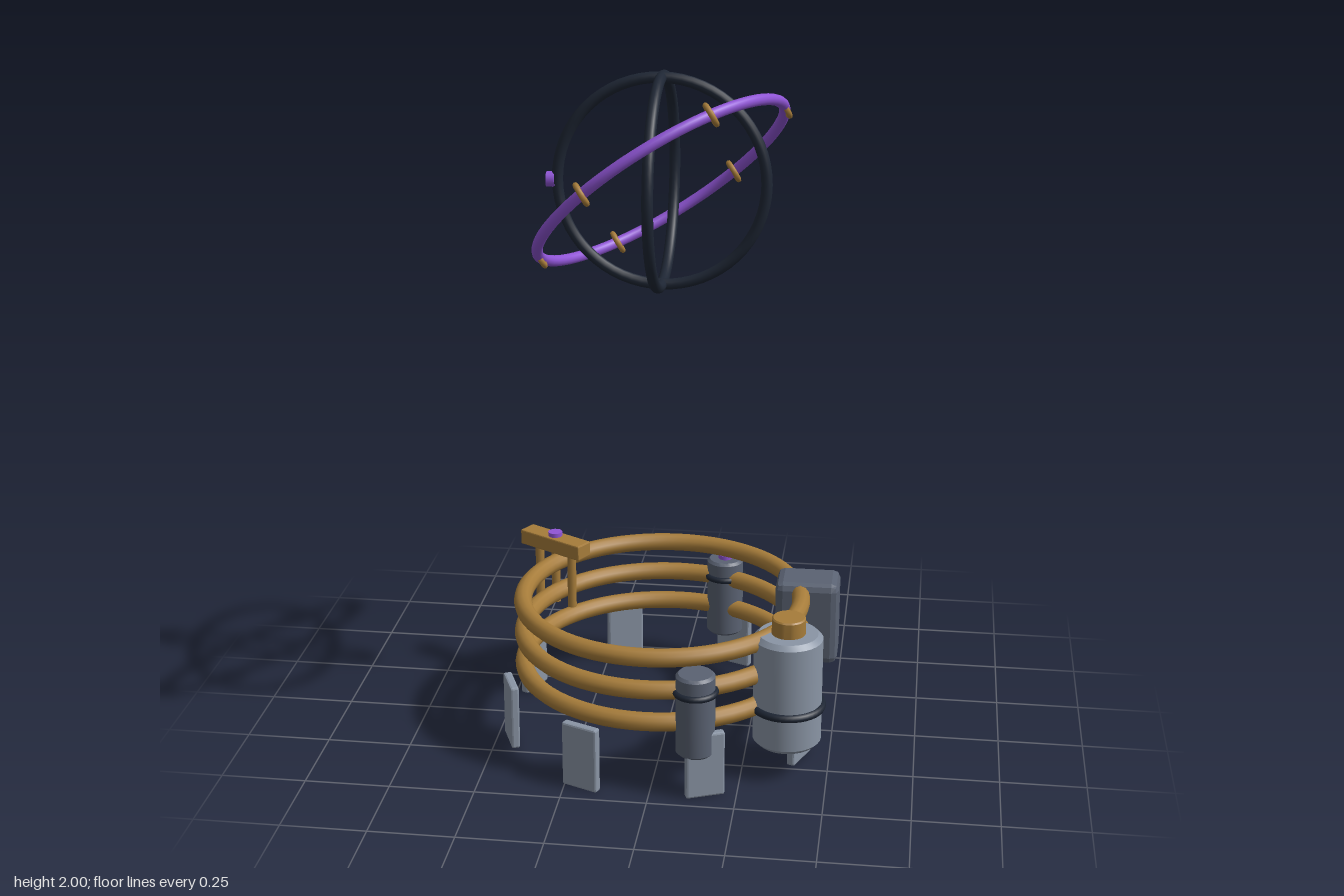
import * as THREE from 'three';
import { toCreasedNormals } from 'three/addons/utils/BufferGeometryUtils.js';
import { RoundedBoxGeometry } from 'three/addons/geometries/RoundedBoxGeometry.js';

const mat = (color, flatShading = false) => new THREE.MeshStandardMaterial({ color, flatShading });
const GOLD = 0xa67c3a, PURPLE = 0x9055d6, DARK = 0x1e2634, STEEL = 0x8a95a5, SLATE = 0x5a6272;
const CX = -0.02; // common axis of the coils and rings

export function createModel() {
  const model = new THREE.Group();
  model.name = 'ringMachine';

  function add(name, geometry, color, x, y, z, parent = model, flat = false) {
    const mesh = new THREE.Mesh(geometry, mat(color, flat));
    mesh.name = name;
    mesh.position.set(x, y, z);
    parent.add(mesh);
    return mesh;
  }
  const chamferBox = (w, h, d, r) => new RoundedBoxGeometry(w, h, d, 1, r);
  // Upright drum with chamfered rims, standing on y = 0
  const drum = (r, h, c) => toCreasedNormals(new THREE.LatheGeometry(
    [[0, 0], [r - c, 0], [r, c], [r, h - c], [r - c, h], [0, h]].map(p => new THREE.Vector2(...p)), 32), 0.5);
  const stud = (name, x, y, z, parent) =>
    add(name, new THREE.CylinderGeometry(0.022, 0.022, 0.024, 16), PURPLE, x, y, z, parent);

  // Three stacked coils
  for (const y of [0.216, 0.317, 0.418]) {
    add('coil', new THREE.TorusGeometry(0.417, 0.027, 12, 72), GOLD, CX, y, 0).rotation.x = Math.PI / 2;
  }

  // Eight foot plates set tangent to the coils
  for (let i = 0; i < 8; i++) {
    const a = (i + 0.5) * Math.PI / 4;
    add('footPlate', chamferBox(0.026, 0.2, 0.115, 0.006), STEEL,
      CX + 0.467 * Math.cos(a), 0.1, 0.467 * Math.sin(a), model, true).rotation.y = -a;
  }
  stud('footStud', -0.453, 0.198, -0.177);

  // Main tank with band and cap
  const tank = new THREE.Group();
  tank.name = 'mainTank';
  tank.position.set(0.379, 0.095, 0.25);
  model.add(tank);
  add('tankBody', drum(0.1, 0.345, 0.014), STEEL, 0, 0, 0, tank);
  add('tankBand', new THREE.TorusGeometry(0.101, 0.012, 8, 40), DARK, 0, 0.121, 0, tank).rotation.x = Math.PI / 2;
  add('tankCap', drum(0.049, 0.055, 0.004), GOLD, 0, 0.34, 0, tank);

  // Front and back canisters
  for (const s of [1, -1]) {
    const can = new THREE.Group();
    can.name = s > 0 ? 'frontCanister' : 'backCanister';
    can.position.set(0.129, 0.125, 0.41 * s);
    model.add(can);
    add('canisterBody', drum(0.057, 0.25, 0.008), SLATE, 0, 0, 0, can);
    add('canisterBand', new THREE.TorusGeometry(0.057, 0.01, 8, 32), DARK, 0, 0.194, 0, can).rotation.x = Math.PI / 2;
    if (s < 0) stud('canisterStud', 0, 0.251, 0, can);
  }

  // Chamfered housing on the left of the coils
  add('housing', chamferBox(0.19, 0.26, 0.147, 0.022), SLATE, 0.41, 0.32, -0.133, model, true);

  // Radial bracket with three hanging rods
  const bracket = new THREE.Group();
  bracket.name = 'bracket';
  bracket.position.set(-0.39, 0.466, -0.253);
  bracket.rotation.y = -Math.PI / 6;
  model.add(bracket);
  add('bracketBar', chamferBox(0.235, 0.048, 0.06, 0.004), GOLD, 0, 0, 0, bracket, true);
  for (const x of [-0.065, 0, 0.065]) {
    add('bracketRod', new THREE.CylinderGeometry(0.014, 0.014, 0.19, 12), GOLD, x, -0.104, 0, bracket);
  }
  stud('bracketStud', 0, 0.025, 0, bracket);

  // Two crossed upright rings
  const rings = new THREE.Group();
  rings.name = 'floatingRings';
  rings.position.set(CX, 1.688, 0);
  model.add(rings);
  for (const turn of [0, Math.PI / 2]) {
    add('uprightRing', new THREE.TorusGeometry(0.296, 0.016, 12, 64), DARK, 0, 0, 0, rings).rotation.y = turn;
  }
  stud('ringStud', -0.315, 0, 0, rings).rotation.z = Math.PI / 2;

  // Tilted outer ring carrying six parallel hoops
  const tilted = new THREE.Group();
  tilted.name = 'tiltedRing';
  tilted.rotation.set(-0.44, 0, 0.59);
  rings.add(tilted);
  add('outerRing', new THREE.TorusGeometry(0.4015, 0.016, 12, 72), PURPLE, 0, 0, 0, tilted).rotation.x = Math.PI / 2;
  for (let i = 0; i < 6; i++) {
    const a = i * Math.PI / 3;
    add('hoop', new THREE.TorusGeometry(0.029, 0.008, 8, 24), GOLD,
      0.4015 * Math.cos(a), 0, 0.4015 * Math.sin(a), tilted).rotation.y = Math.PI / 2;
  }
  return model;
}
